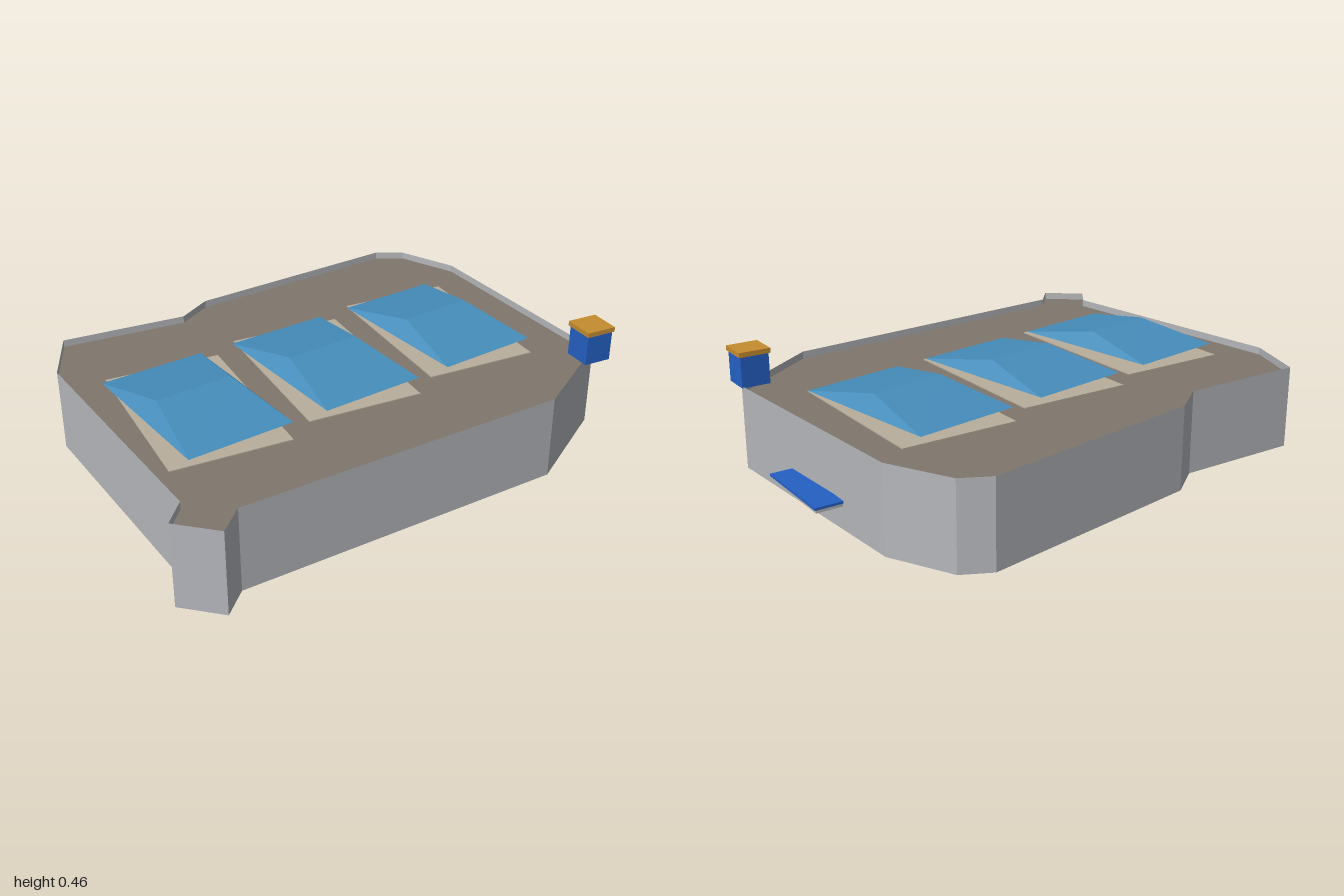
import * as THREE from 'three';

const mat = (name, color, side = THREE.FrontSide) => {
  const m = new THREE.MeshStandardMaterial({ color, side });
  m.name = name;
  return m;
};

// Plan outline as [x, z] corners, starting at the back left of the plan
const OUTLINE = [
  [-1, -0.37], [-0.905, -0.625], [-0.4, -0.62], [-0.265, -0.72], [0.64, -0.865],
  [0.75, -0.81], [0.873, -0.575], [0.94, 0.375], [0.565, 0.643], [-0.73, 0.765],
  [-0.815, 0.86], [-0.953, 0.745], [-0.88, 0.65],
];
const WALL_TOP = 0.327, DECK_Y = 0.298;

// Flat-faced geometry from a list of polygons, each a loop of [x, y, z]
function facets(polygons) {
  const pos = [];
  for (const p of polygons)
    for (let i = 1; i < p.length - 1; i++) pos.push(...p[0], ...p[i], ...p[i + 1]);
  const g = new THREE.BufferGeometry();
  g.setAttribute('position', new THREE.Float32BufferAttribute(pos, 3));
  g.computeVertexNormals();
  return g;
}

export function createModel() {
  const root = new THREE.Group();
  root.name = 'flatRoofBuilding';
  const wallMat = mat('wallGrey', 0xb4b6bb, THREE.DoubleSide);
  const deckMat = mat('roofBrown', 0x80776c, THREE.DoubleSide);
  const padMat = mat('curbBeige', 0xb8ae9d);
  const glassMat = mat('skylightBlue', 0x468dbb, THREE.DoubleSide);
  const blueMat = mat('paintBlue', 0x2460c4);
  const capMat = mat('capOrange', 0xc68d30);

  const add = (name, geo, material, parent = root) => {
    const mesh = new THREE.Mesh(geo, material);
    mesh.name = name;
    parent.add(mesh);
    return mesh;
  };
  const box = (name, material, [x0, x1], [y0, y1], [z0, z1], parent = root) =>
    add(name, new THREE.BoxGeometry(x1 - x0, y1 - y0, z1 - z0), material, parent)
      .position.set((x0 + x1) / 2, (y0 + y1) / 2, (z0 + z1) / 2);

  // Thin perimeter walls, open underneath, rising into a low parapet
  add('walls', facets(OUTLINE.map(([x, z], i) => {
    const [u, w] = OUTLINE[(i + 1) % OUTLINE.length];
    return [[x, 0, z], [x, WALL_TOP, z], [u, WALL_TOP, w], [u, 0, w]];
  })), wallMat);

  // Roof deck just below the parapet
  const shape = new THREE.Shape(OUTLINE.map(([x, z]) => new THREE.Vector2(x, -z)));
  const deck = new THREE.ShapeGeometry(shape).rotateX(-Math.PI / 2);
  add('roofDeck', deck, deckMat).position.y = DECK_Y;

  // Three skewed hipped skylights over straight pads
  const a = [-0.259, 0, -0.29], b = [0.158, 0, -0.355];
  const c = [0.259, 0, 0.287], d = [-0.158, 0, 0.355];
  const r = [-0.152, 0.058, 0.024], s = [0.152, 0.058, -0.03];
  const hip = facets([[d, c, s, r], [b, a, r, s], [a, d, r], [c, b, s]]);
  for (const [x, z] of [[-0.613, 0.078], [-0.055, -0.007], [0.503, -0.098]]) {
    const unit = new THREE.Group();
    unit.name = 'skylight';
    unit.position.set(x, 0, z);
    root.add(unit);
    box('skylightPad', padMat, [-0.228, 0.228], [DECK_Y, DECK_Y + 0.004], [-0.355, 0.355], unit);
    add('skylightGlass', hip, glassMat, unit).position.y = WALL_TOP;
  }

  // Small roof vent with an overhanging cap
  box('ventBody', blueMat, [0.832, 0.944], [0.322, 0.442], [0.36, 0.472]);
  box('ventCap', capMat, [0.826, 0.95], [0.442, 0.461], [0.354, 0.478]);

  // Side canopy with a grey soffit
  box('canopyTop', blueMat, [0.895, 1], [0.104, 0.113], [-0.336, 0.02]);
  box('canopySoffit', wallMat, [0.895, 0.994], [0.091, 0.104], [-0.33, 0.014]);

  return root;
}
